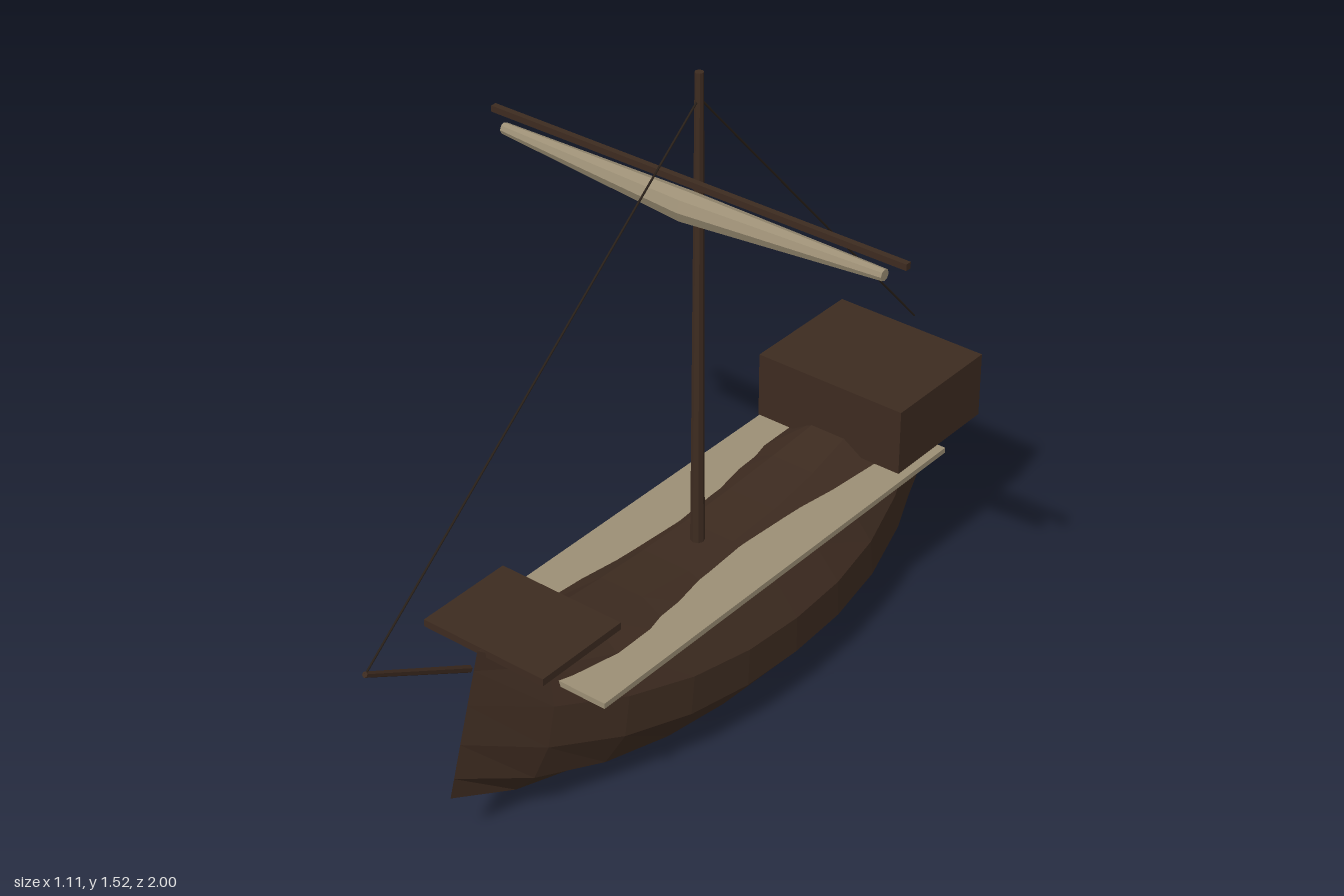
import * as THREE from 'three';

const mat = (name, color, extra = {}) => {
  const m = new THREE.MeshStandardMaterial({ color, ...extra });
  m.name = name;
  return m;
};

// Closed hull: twelve-sided rings that narrow to a sharp stem and stern
function hullGeometry() {
  const stations = 10, sides = 12, midZ = -0.115, halfLength = 0.885;
  const pos = [], index = [];
  for (let i = 0; i <= stations; i++) {
    const t = (i / stations) * 2 - 1, e = Math.abs(t);
    const halfWidth = 0.26 * (1 - Math.pow(e, 2.2));
    const bottom = 0.14 * Math.pow(e, 3.5);
    const top = 0.35 + 0.12 * e * e;
    for (let j = 0; j < sides; j++) {
      const a = ((j + 0.5) / sides) * Math.PI * 2;
      const v = (Math.sin(a) / Math.sin(Math.PI * 5 / 12) + 1) / 2;
      pos.push(
        halfWidth * Math.cos(a),
        bottom + (top - bottom) * v,
        midZ + t * halfLength * (1 - 0.115 * v) // ends rake inward toward the deck
      );
    }
  }
  for (let i = 0; i < stations; i++) {
    for (let j = 0; j < sides; j++) {
      const k = (j + 1) % sides;
      const a = i * sides + j, b = i * sides + k, c = b + sides, d = a + sides;
      index.push(a, b, c, a, c, d);
    }
  }
  const g = new THREE.BufferGeometry();
  g.setAttribute('position', new THREE.Float32BufferAttribute(pos, 3));
  g.setIndex(index);
  const flat = g.toNonIndexed();
  flat.computeVertexNormals();
  return flat;
}

export function createModel() {
  const group = new THREE.Group();
  group.name = 'sailingShip';
  const wood = mat('darkWood', 0x3d2b20, { flatShading: true });
  const canvas = mat('paleCanvas', 0x9c8f75, { flatShading: true });
  const rope = mat('rope', 0x2a211a);

  const add = (name, geometry, material) => {
    const mesh = new THREE.Mesh(geometry, material);
    mesh.name = name;
    group.add(mesh);
    return mesh;
  };
  const box = (name, material, w, h, d, x, y, z) =>
    add(name, new THREE.BoxGeometry(w, h, d), material).position.set(x, y, z);
  // Round spar between two points
  const spar = (name, material, from, to, r0, r1, sides) => {
    const a = new THREE.Vector3(...from), b = new THREE.Vector3(...to);
    const dir = b.clone().sub(a);
    const mesh = add(name, new THREE.CylinderGeometry(r1, r0, dir.length(), sides), material);
    mesh.position.copy(a).add(b).multiplyScalar(0.5);
    mesh.quaternion.setFromUnitVectors(new THREE.Vector3(0, 1, 0), dir.normalize());
  };

  add('hull', hullGeometry(), wood);

  // Side rails
  for (const s of [1, -1]) {
    box(s > 0 ? 'leftRail' : 'rightRail', canvas, 0.135, 0.014, 1.255, s * 0.1475, 0.336, -0.113);
  }

  // Raised decks
  box('aftCastle', wood, 0.41, 0.168, 0.33, 0, 0.441, -0.728);
  box('forePlatform', wood, 0.332, 0.018, 0.252, 0, 0.457, 0.526);

  // Mast, yard and bowsprit
  spar('mast', wood, [0, 0.3, -0.07], [0, 1.525, -0.07], 0.017, 0.01, 8);
  box('yard', wood, 1.11, 0.015, 0.015, 0, 1.274, -0.046);
  spar('bowsprit', wood, [0, 0.44, 0.695], [0, 0.605, 0.997], 0.009, 0.007, 6);

  // Furled sail, thickest and lowest at the middle
  const sail = new THREE.CylinderGeometry(0.036, 0.036, 1.02, 8, 2);
  sail.rotateZ(Math.PI / 2);
  const p = sail.attributes.position;
  for (let i = 0; i < p.count; i++) {
    const e = Math.abs(p.getX(i)) / 0.51;
    const k = 1 - 0.62 * e;
    p.setY(i, p.getY(i) * k + 1.226 + 0.019 * e);
    p.setZ(i, p.getZ(i) * k - 0.029);
  }
  sail.computeVertexNormals();
  add('furledSail', sail, canvas);

  // Stays
  spar('foreStay', rope, [0, 1.465, -0.07], [0, 0.605, 0.995], 0.0025, 0.0025, 5);
  spar('backStay', rope, [0, 1.465, -0.07], [0, 0.55, -0.905], 0.0025, 0.0025, 5);

  return group;
}
